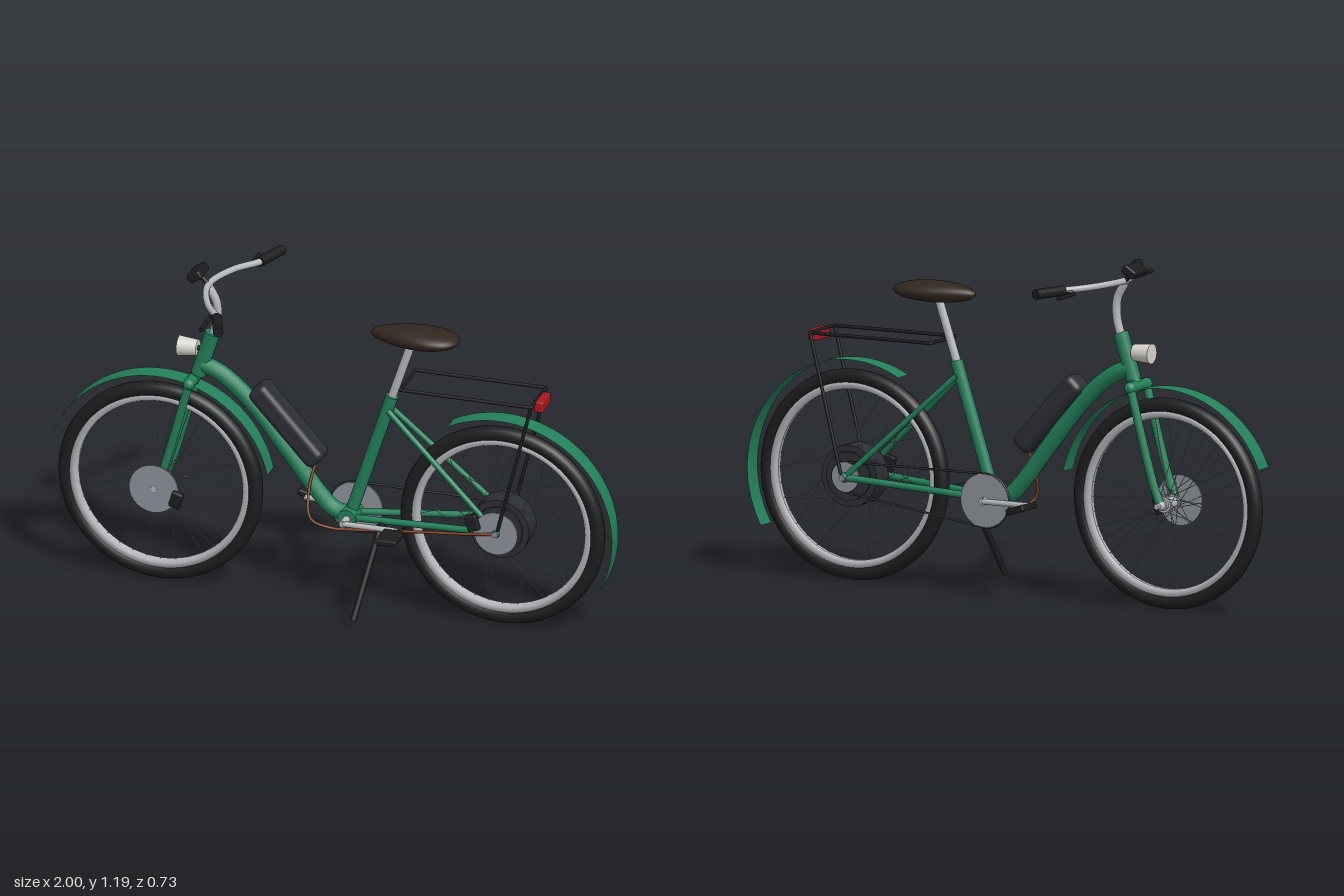
import * as THREE from 'three';
import { RoundedBoxGeometry } from 'three/addons/geometries/RoundedBoxGeometry.js';

const GREEN = 0x23805a, BLACK = 0x1c1d1f, CHARCOAL = 0x2b2e34, SILVER = 0xb4b7bc,
  STEEL = 0x8d9299, BROWN = 0x32261f, RED = 0xa81820, CREAM = 0xd8d6cc, COPPER = 0x8a4a2c;
const materials = {};
const mat = (color) => (materials[color] ??= new THREE.MeshStandardMaterial({ color, side: THREE.DoubleSide }));
const V = (p) => new THREE.Vector3(...p);
const rad = THREE.MathUtils.degToRad;

function add(parent, name, geometry, color, pos = [0, 0, 0], rotZ = 0) {
  const mesh = new THREE.Mesh(geometry, mat(color));
  mesh.name = name;
  mesh.position.set(...pos);
  mesh.rotation.z = rotZ;
  parent.add(mesh);
  return mesh;
}

// Straight round bar from a to b
function rod(parent, name, a, b, r, color, rEnd = r, sides = 14) {
  const from = V(a), dir = V(b).sub(from);
  const mesh = add(parent, name, new THREE.CylinderGeometry(rEnd, r, dir.length(), sides), color);
  mesh.position.copy(from).addScaledVector(dir, 0.5);
  mesh.quaternion.setFromUnitVectors(new THREE.Vector3(0, 1, 0), dir.normalize());
  return mesh;
}

// Smooth bent tube through points
function bent(parent, name, points, r, color, closed = false) {
  const curve = new THREE.CatmullRomCurve3(points.map(V), closed);
  return add(parent, name, new THREE.TubeGeometry(curve, 48, r, 12, closed), color);
}

// Disc or drum whose axis runs across the bike
const drum = (r, width, sides = 40) => new THREE.CylinderGeometry(r, r, width, sides).rotateX(Math.PI / 2);
const ball = (parent, name, p, r, color) => add(parent, name, new THREE.SphereGeometry(r, 16, 12), color, p);

const FRONT = [-0.63, 0.367], REAR = [0.597, 0.367], BB = [0.05, 0.33];

function wheel(parent, name, [x, y], hubR, flange) {
  const g = new THREE.Group();
  g.name = name;
  g.position.set(x, y, 0);
  parent.add(g);
  add(g, 'tyre', new THREE.TorusGeometry(0.339, 0.027, 16, 80), BLACK);
  const profile = [[0.296, -0.008], [0.303, -0.018], [0.322, -0.02], [0.322, 0.02], [0.303, 0.018], [0.296, 0.008], [0.296, -0.008]];
  add(g, 'rim', new THREE.LatheGeometry(profile.map((p) => new THREE.Vector2(...p)), 80).rotateX(Math.PI / 2), SILVER);
  // Crossed spokes alternate between the two hub flanges
  const count = 36;
  for (let i = 0; i < count; i++) {
    const a = (i / count) * Math.PI * 2, twist = (i % 4 < 2 ? 1 : -1) * (hubR > 0.05 ? 0.7 : 1.2);
    const z = i % 2 ? flange : -flange;
    rod(g, 'spoke', [hubR * Math.cos(a + twist), hubR * Math.sin(a + twist), z],
      [0.3 * Math.cos(a), 0.3 * Math.sin(a), 0], 0.0013, STEEL, 0.0013, 5);
  }
  return g;
}

function fender(parent, name, [x, y], fromDeg, toDeg) {
  const geo = new THREE.CylinderGeometry(0.402, 0.402, 0.073, 56, 1, true,
    rad(fromDeg) + Math.PI / 2, rad(toDeg - fromDeg)).rotateX(Math.PI / 2);
  add(parent, name, geo, GREEN, [x, y, 0]);
}

export function createModel() {
  const bike = new THREE.Group();
  bike.name = 'electricBicycle';

  // Wheels, hubs and brake discs
  const front = wheel(bike, 'frontWheel', FRONT, 0.022, 0.03);
  add(front, 'frontHub', drum(0.02, 0.09), SILVER);
  for (const z of [-0.032, 0.032]) add(front, 'hubFlange', drum(0.028, 0.006), SILVER, [0, 0, z]);
  add(front, 'frontAxle', drum(0.01, 0.17, 12), SILVER);
  const rear = wheel(bike, 'rearWheel', REAR, 0.1, 0.035);
  add(rear, 'hubMotor', drum(0.107, 0.085), CHARCOAL);
  add(rear, 'motorCover', drum(0.085, 0.1), CHARCOAL);
  add(rear, 'rearAxle', drum(0.011, 0.19, 12), STEEL);
  add(rear, 'rearSprocket', drum(0.052, 0.008, 24), STEEL, [0, 0, -0.066]);
  for (const [w, r] of [[front, 0.088], [rear, 0.078]]) add(w, 'brakeDisc', drum(r, 0.005), STEEL, [0, 0, 0.081]);
  add(bike, 'frontCaliper', new RoundedBoxGeometry(0.04, 0.058, 0.025, 2, 0.006), BLACK, [-0.547, 0.34, 0.088], -0.3);
  add(bike, 'rearCaliper', new RoundedBoxGeometry(0.045, 0.058, 0.025, 2, 0.006), BLACK, [0.515, 0.4, 0.088], 0.3);
  fender(bike, 'frontFender', FRONT, 12, 158);
  fender(bike, 'rearFender', REAR, -30, 118);

  // Step-through frame
  rod(bike, 'headTube', [-0.495, 0.785, 0], [-0.443, 0.945, 0], 0.027, GREEN);
  bent(bike, 'downTube', [[-0.48, 0.825, 0], [-0.41, 0.795, 0], [-0.31, 0.71, 0], [-0.18, 0.55, 0],
    [-0.06, 0.395, 0], [-0.01, 0.345, 0], [0.05, 0.33, 0]], 0.029, GREEN);
  rod(bike, 'seatTube', [0.05, 0.33, 0], [0.2, 0.795, 0], 0.022, GREEN);
  add(bike, 'bottomBracket', drum(0.033, 0.09, 24), GREEN, [...BB, 0]);
  for (const s of [-1, 1]) {
    rod(bike, 'seatStay', [0.19, 0.745, s * 0.018], [...REAR, s * 0.075], 0.01, GREEN);
    rod(bike, 'chainStay', [0.05, 0.33, s * 0.025], [...REAR, s * 0.075], 0.012, GREEN);
    ball(bike, 'dropout', [...REAR, s * 0.075], 0.017, GREEN);
    // Fork leg sweeps forward to the axle
    bent(bike, 'forkLeg', [[-0.512, 0.768, s * 0.056], [-0.54, 0.66, s * 0.056], [-0.575, 0.53, s * 0.056],
      [-0.605, 0.43, s * 0.056], [...FRONT, s * 0.056]], 0.015, GREEN);
    ball(bike, 'forkShoulder', [-0.512, 0.765, s * 0.056], 0.021, GREEN);
    ball(bike, 'forkEnd', [...FRONT, s * 0.056], 0.018, SILVER);
  }
  rod(bike, 'forkCrown', [-0.512, 0.765, -0.056], [-0.512, 0.765, 0.056], 0.02, GREEN);
  rod(bike, 'steerer', [-0.515, 0.755, 0], [-0.49, 0.8, 0], 0.02, GREEN);

  // Saddle, narrowing toward the nose
  rod(bike, 'seatPost', [0.195, 0.78, 0], [0.275, 1.02, 0], 0.015, SILVER);
  const seat = new THREE.SphereGeometry(1, 36, 20), sp = seat.attributes.position;
  for (let i = 0; i < sp.count; i++) {
    const t = sp.getX(i);
    sp.setXYZ(i, t * 0.158, sp.getY(i) * 0.037, sp.getZ(i) * 0.093 * (0.78 + 0.3 * t));
  }
  seat.computeVertexNormals();
  add(bike, 'saddle', seat, BROWN, [0.282, 1.028, 0]);

  // Handlebar, controls and lamp
  bent(bike, 'stem', [[-0.445, 0.93, 0], [-0.428, 1.0, 0], [-0.43, 1.06, 0], [-0.46, 1.12, 0]], 0.015, SILVER);
  bent(bike, 'handlebar', [[-0.31, 1.118, -0.345], [-0.35, 1.118, -0.245], [-0.415, 1.122, -0.15], [-0.458, 1.125, 0],
    [-0.415, 1.122, 0.15], [-0.35, 1.118, 0.245], [-0.31, 1.118, 0.345]], 0.0115, SILVER);
  for (const s of [-1, 1]) {
    rod(bike, 'grip', [-0.353, 1.118, s * 0.242], [-0.31, 1.118, s * 0.36], 0.018, BLACK);
    rod(bike, 'brakeLever', [-0.382, 1.105, s * 0.22], [-0.382, 1.105, s * 0.33], 0.007, BLACK);
    rod(bike, 'leverClamp', [-0.382, 1.107, s * 0.222], [-0.355, 1.118, s * 0.235], 0.008, BLACK);
  }
  add(bike, 'display', new RoundedBoxGeometry(0.052, 0.032, 0.094, 3, 0.008), BLACK, [-0.497, 1.163, 0], 0.55);
  rod(bike, 'displayMount', [-0.46, 1.125, 0], [-0.49, 1.155, 0], 0.009, BLACK);
  rod(bike, 'headlight', [-0.497, 0.88, 0], [-0.565, 0.88, 0], 0.028, CREAM, 0.035, 24);
  rod(bike, 'headlightBracket', [-0.455, 0.875, 0], [-0.5, 0.88, 0], 0.01, BLACK);

  // Battery on the down tube, with motor cable
  add(bike, 'battery', new RoundedBoxGeometry(0.335, 0.078, 0.094, 4, 0.024), CHARCOAL, [-0.172, 0.642, 0], rad(-48));
  bent(bike, 'motorCable', [[-0.07, 0.52, 0.01], [-0.085, 0.42, 0.045], [-0.07, 0.33, 0.075], [-0.01, 0.293, 0.05],
    [0.08, 0.295, 0.045], [0.3, 0.325, 0.062], [0.5, 0.355, 0.088], [...REAR, 0.088]], 0.005, COPPER);

  // Cranks, pedals, chainring and chain
  add(bike, 'chainring', drum(0.095, 0.006), STEEL, [...BB, -0.066]);
  add(bike, 'crankAxle', drum(0.013, 0.18, 16), SILVER, [...BB, 0]);
  for (const s of [-1, 1]) {
    const px = BB[0] + s * 0.187;
    rod(bike, 'crankArm', [...BB, s * 0.085], [px, 0.33, s * 0.085], 0.01, SILVER);
    rod(bike, 'pedalAxle', [px, 0.33, s * 0.08], [px, 0.33, s * 0.12], 0.007, SILVER);
    add(bike, 'pedal', new RoundedBoxGeometry(0.072, 0.022, 0.102, 2, 0.006), BLACK, [px, 0.33, s * 0.149], s < 0 ? -0.3 : 0);
  }
  for (const s of [-1, 1]) {
    rod(bike, 'chainRun', [BB[0], BB[1] + s * 0.094, -0.066], [REAR[0], REAR[1] + s * 0.052, -0.066], 0.004, CHARCOAL, 0.004, 8);
  }
  for (const [c, r, start] of [[BB, 0.094, 90], [REAR, 0.052, -90]]) {
    const arc = new THREE.TorusGeometry(r, 0.004, 8, 32, Math.PI).rotateZ(rad(start));
    add(bike, 'chainWrap', arc, CHARCOAL, [...c, -0.066]);
  }

  // Rear rack with tail light
  const W = 0.087;
  for (const s of [-1, 1]) {
    rod(bike, 'rackRail', [0.255, 0.862, s * W], [0.725, 0.86, s * W], 0.006, BLACK);
    rod(bike, 'rackStrut', [0.725, 0.86, s * W], [0.605, 0.38, s * W], 0.006, BLACK);
    for (const x of [0.255, 0.725]) ball(bike, 'rackCorner', [x, 0.861, s * W], 0.006, BLACK);
  }
  for (const x of [0.255, 0.725]) rod(bike, 'rackCrossbar', [x, 0.861, -W], [x, 0.861, W], 0.006, BLACK);
  add(bike, 'tailLight', new RoundedBoxGeometry(0.034, 0.04, 0.096, 3, 0.007), RED, [0.738, 0.845, 0]);

  // Kickstand
  rod(bike, 'kickstand', [0.175, 0.325, 0.055], [0.125, 0.03, 0.207], 0.011, BLACK);
  rod(bike, 'kickstandMount', [0.175, 0.325, 0.02], [0.175, 0.325, 0.065], 0.012, BLACK);

  return bike;
}
